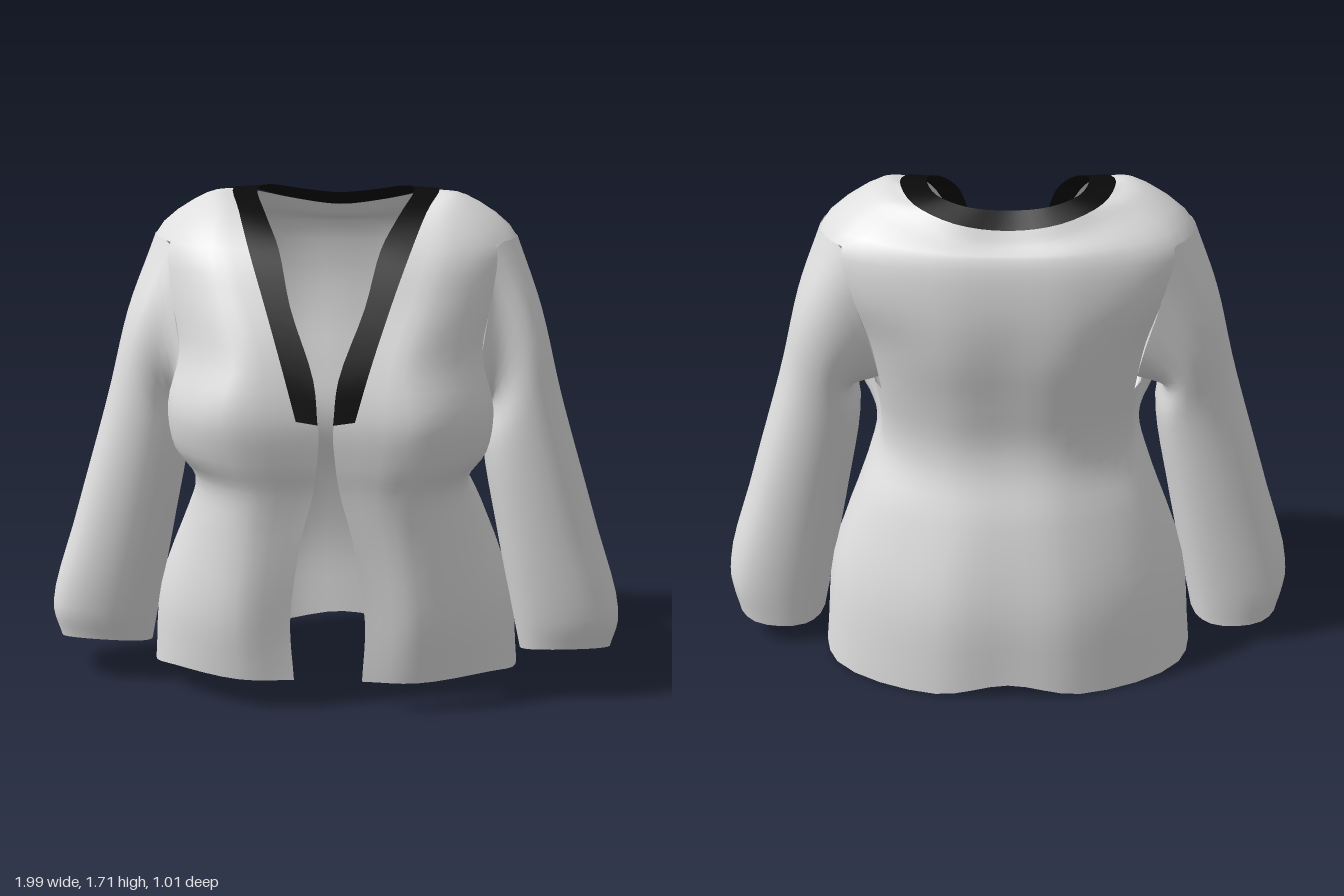
import * as THREE from 'three';

const fabric = new THREE.MeshStandardMaterial({ color: 0xdedede, side: THREE.DoubleSide });
fabric.name = 'paleGreyFabric';
const black = new THREE.MeshStandardMaterial({ color: 0x0a0a0a, side: THREE.DoubleSide });
black.name = 'blackTrim';

const vec = (p) => new THREE.Vector3(...p);
const level = (y, ...xz) => xz.map(([x, z]) => [x, y, z]);

// Complete a half section (front edge to back centre) with its mirror image
const mirrorRow = (row) => [...row, ...row.slice(0, -1).reverse().map(([x, y, z]) => [-x, y, z])];

// Smooth surface through rows of points; closed joins the ends of each row, isHole leaves cells out
function loft(rows, nu, nv, { closed = false, isHole = () => false } = {}) {
  const rowCurves = rows.map((r) => new THREE.CatmullRomCurve3(r.map(vec), closed));
  const pos = [], index = [];
  const cols = closed ? nu : nu + 1;
  for (let i = 0; i < cols; i++) {
    const column = new THREE.CatmullRomCurve3(rowCurves.map((c) => c.getPoint(i / nu)));
    for (let j = 0; j <= nv; j++) pos.push(...column.getPoint(j / nv).toArray());
  }
  for (let i = 0; i < nu; i++) {
    for (let j = 0; j < nv; j++) {
      if (isHole(i, j)) continue;
      const a = i * (nv + 1) + j, b = ((i + 1) % cols) * (nv + 1) + j;
      index.push(a, b, b + 1, a, b + 1, a + 1);
    }
  }
  const g = new THREE.BufferGeometry();
  g.setAttribute('position', new THREE.Float32BufferAttribute(pos, 3));
  g.setIndex(index);
  g.computeVertexNormals();
  return g;
}

function add(parent, name, geometry, material) {
  const m = new THREE.Mesh(geometry, material);
  m.name = name;
  parent.add(m);
}

// Half sections of the body, hem to bust
const lowerBody = [
  [[.115, .11, .375], [.3, .11, .38], [.54, .1, .23], [.64, .04, 0], [.6, .01, -.28], [.25, .01, -.485], [0, .05, -.495]],
  level(.33, [.125, .395], [.31, .415], [.53, .25], [.615, 0], [.56, -.27], [.24, -.475], [0, -.49]),
  level(.62, [.085, .425], [.28, .43], [.46, .27], [.51, 0], [.47, -.24], [.2, -.405], [0, -.425]),
  level(.78, [.045, .44], [.27, .45], [.45, .25], [.45, .03], [.4, -.21], [.2, -.345], [0, -.365]),
  level(.89, [.03, .46], [.31, .478], [.52, .26], [.45, .06], [.4, -.2], [.2, -.335], [0, -.35]),
  level(1.04, [.028, .475], [.34, .495], [.54, .265], [.47, .05], [.42, -.22], [.2, -.36], [0, -.37]),
];

// Half sections from chest to the back of the neck
const upperBody = [
  level(1.22, [.11, .445], [.3, .445], [.5, .25], [.5, .02], [.45, -.25], [.22, -.395], [0, -.4]),
  level(1.4, [.18, .37], [.35, .35], [.53, .2], [.58, -.02], [.5, -.29], [.24, -.4], [0, -.41]),
  level(1.56, [.245, .27], [.39, .245], [.54, .13], [.615, -.05], [.53, -.26], [.24, -.37], [0, -.38]),
  [[.3, 1.66, .12], [.37, 1.68, .09], [.42, 1.7, 0], [.44, 1.695, -.1], [.4, 1.67, -.2], [.2, 1.61, -.32], [0, 1.585, -.335]],
  [[.33, 1.71, -.07], [.335, 1.71, -.09], [.33, 1.71, -.13], [.31, 1.697, -.18], [.27, 1.68, -.24], [.16, 1.65, -.295], [0, 1.63, -.3]],
];

// Armholes: body cells from bust to shoulder, on both sides
const isArmhole = (i, j) => {
  const k = Math.min(i, 47 - i);
  return k >= 8 && k < 16 && j >= 20 && j < 32;
};

// Edges of the neck band, front tip to back centre
const bandOuter = [
  [.095, 1.04, .492], [.14, 1.2, .46], [.205, 1.4, .378], [.26, 1.55, .284], [.31, 1.665, .13],
  [.35, 1.715, -.08], [.3, 1.692, -.23], [.17, 1.652, -.3], [0, 1.63, -.305],
];
const bandInner = [
  [.025, 1.03, .495], [.04, 1.17, .468], [.12, 1.39, .382], [.165, 1.56, .275], [.22, 1.655, .14],
  [.265, 1.715, -.05], [.225, 1.71, -.2], [.13, 1.69, -.25], [0, 1.678, -.25],
];

// Squarish oval sleeve section from its outer and inner points and its front and back depth
const soften = (v) => Math.sign(v) * Math.abs(v) ** .8;
function sleeveRing([ox, oy, ix, iy, front, back, tilt = 0]) {
  return Array.from({ length: 12 }, (_, k) => {
    const a = (k / 12) * Math.PI * 2, c = soften(Math.cos(a)), s = soften(Math.sin(a));
    return [
      (ox + ix) / 2 + (ox - ix) / 2 * c,
      (oy + iy) / 2 + (oy - iy) / 2 * c + tilt * s,
      (front + back) / 2 + (front - back) / 2 * s,
    ];
  });
}

// Sleeve from the armhole edge (top, front, bottom, back) to the cuff
const armholeEdge = [
  [.615, 1.565, -.05], [.59, 1.565, .05], [.54, 1.55, .13], [.53, 1.4, .2], [.5, 1.22, .25], [.515, 1.04, .2],
  [.47, 1.03, .05], [.435, 1.04, -.12], [.45, 1.2, -.25], [.5, 1.4, -.29], [.53, 1.55, -.26], [.585, 1.565, -.16],
];
const sleeveSections = [
  [.7, 1.33, .52, 1, .215, -.26],
  [.775, 1.03, .51, .87, .235, -.22],
  [.9, .6, .565, .55, .225, -.19],
  [.995, .25, .63, .23, .195, -.165, .03],
  [.97, .125, .655, .11, .165, -.15, .045],
];
const cuffLining = [
  [.975, .145, .665, .135, .16, -.145, .04],
  [.945, .128, .69, .12, .14, -.125, .035],
];

export function createModel() {
  const jacket = new THREE.Group();
  jacket.name = 'jacket';

  add(jacket, 'body', loft([...lowerBody, ...upperBody].map(mirrorRow), 48, 40, { isHole: isArmhole }), fabric);
  add(jacket, 'neckBand', loft([mirrorRow(bandOuter), mirrorRow(bandInner)], 64, 2), black);

  // Sleeves with dark cuff linings
  const sleeveRows = [armholeEdge, ...sleeveSections.map(sleeveRing)];
  for (const side of [1, -1]) {
    const sleeve = new THREE.Group();
    sleeve.name = side > 0 ? 'leftSleeve' : 'rightSleeve';
    sleeve.scale.x = side;
    add(sleeve, 'sleeve', loft(sleeveRows, 24, 24, { closed: true }), fabric);
    add(sleeve, 'cuffLining', loft(cuffLining.map(sleeveRing), 24, 1, { closed: true }), black);
    jacket.add(sleeve);
  }
  return jacket;
}
